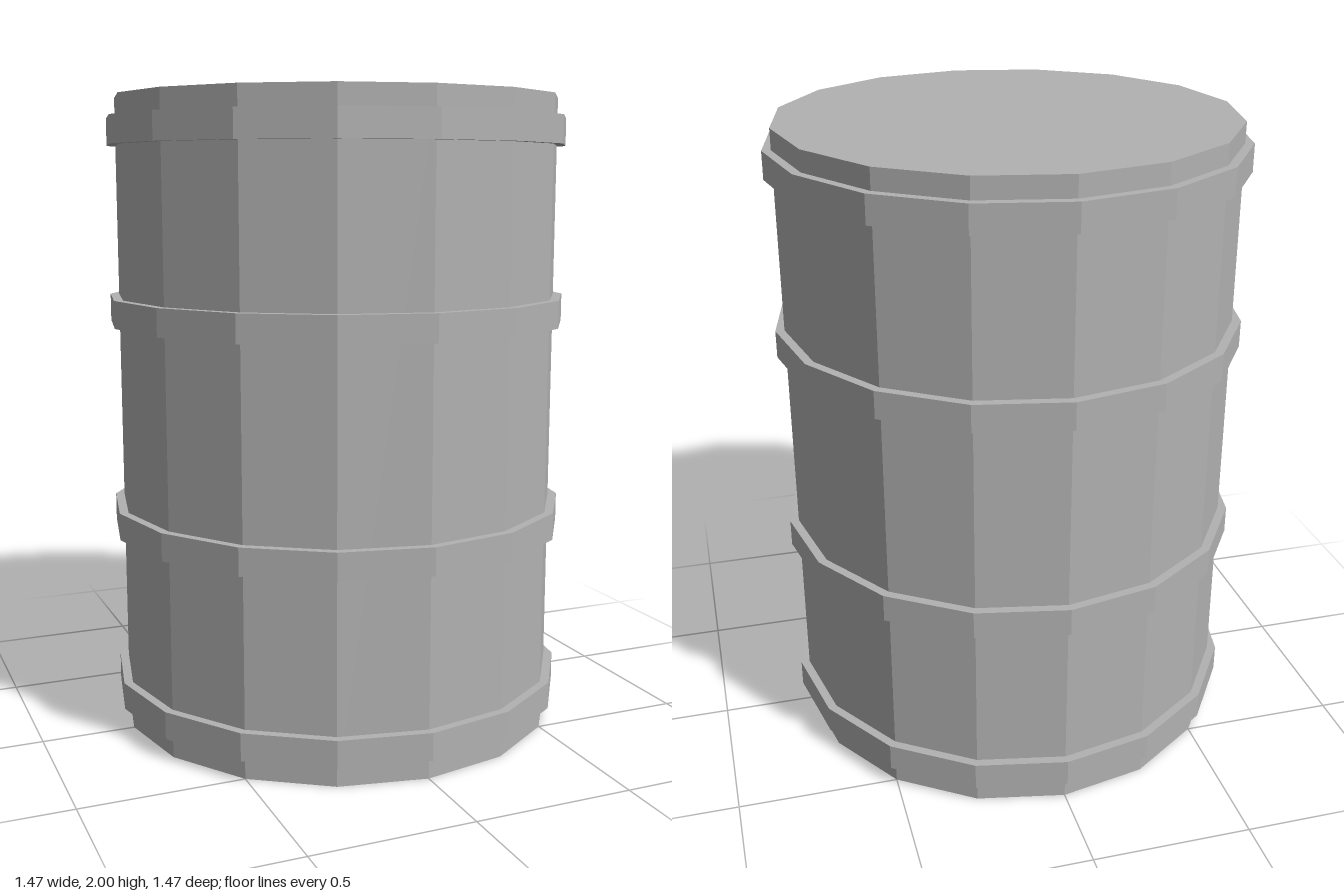
import * as THREE from 'three';

const SIDES = 16;
const BODY_RADIUS = 0.707;
const HOOP_RADIUS = 0.735;
const HOOP_HEIGHT = 0.086;

// Faceted normals for the low-poly look
function faceted(geometry) {
  const flat = geometry.toNonIndexed();
  flat.computeVertexNormals();
  return flat;
}

export function createModel() {
  const barrel = new THREE.Group();
  barrel.name = 'barrel';

  const greyMetal = new THREE.MeshStandardMaterial({ color: 0xb2b2b2 });
  greyMetal.name = 'grey metal';

  // Closed drum with flat lid and base
  const body = new THREE.Mesh(
    faceted(new THREE.CylinderGeometry(BODY_RADIUS, BODY_RADIUS, 2, SIDES)),
    greyMetal
  );
  body.name = 'drumBody';
  body.position.y = 1;
  barrel.add(body);

  // Raised hoops: underside, outer wall, top ledge
  const h = HOOP_HEIGHT / 2;
  const profile = [
    new THREE.Vector2(BODY_RADIUS, -h),
    new THREE.Vector2(HOOP_RADIUS, -h),
    new THREE.Vector2(HOOP_RADIUS, h),
    new THREE.Vector2(BODY_RADIUS, h),
  ];
  const hoopGeometry = faceted(new THREE.LatheGeometry(profile, SIDES));
  [0.11, 0.668, 1.335, 1.893].forEach((y, i) => {
    const hoop = new THREE.Mesh(hoopGeometry, greyMetal);
    hoop.name = `hoop${i + 1}`;
    hoop.position.y = y;
    barrel.add(hoop);
  });

  return barrel;
}
